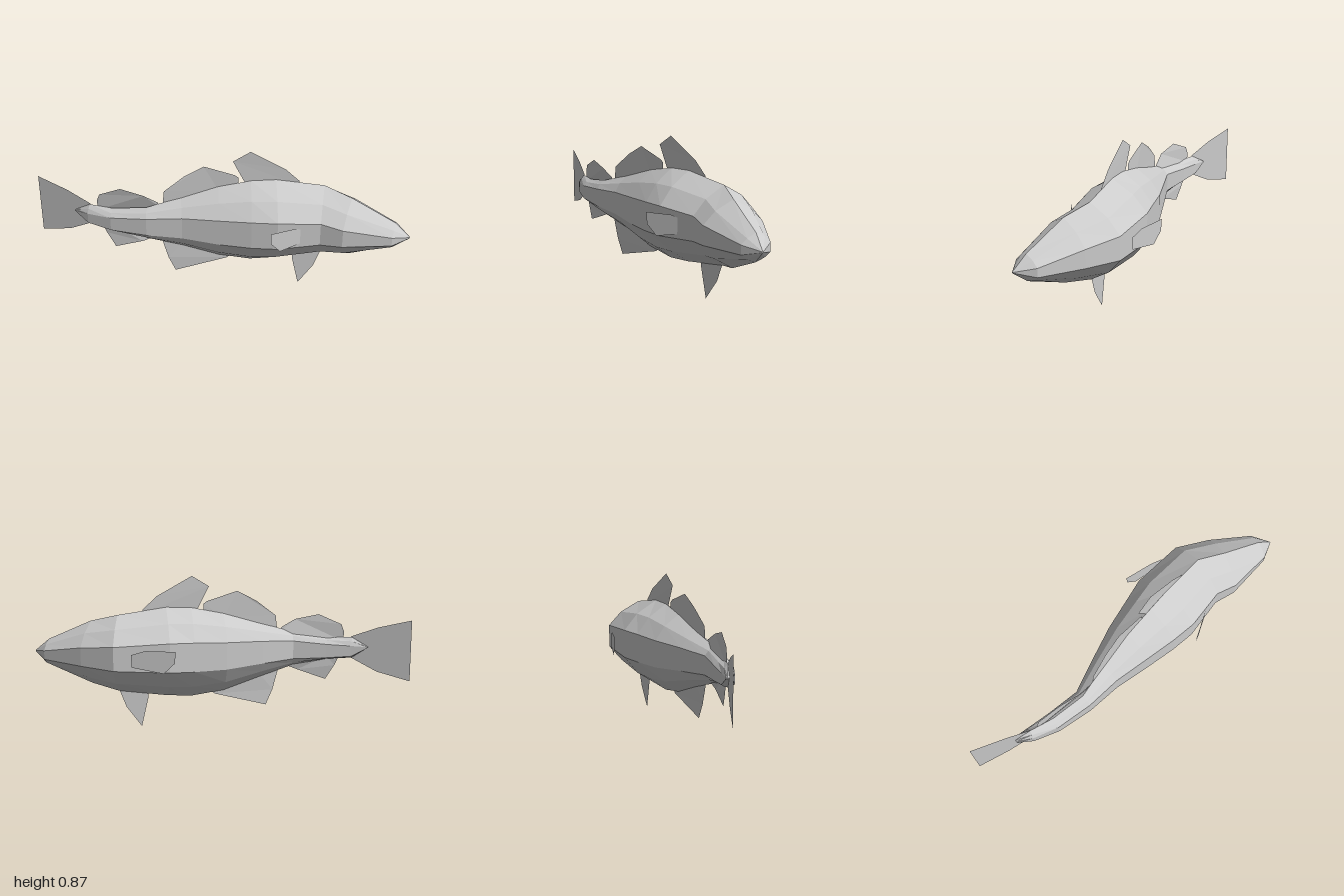
import * as THREE from 'three';

// Body stations, nose to tail: x, z of the spine, half width, then heights of
// the back ridge, upper side edge, lower side edge and belly ridge
const STATIONS = [
  [1.0, 0.40, 0.004, 0.43, 0.427, 0.423, 0.42],
  [0.93, 0.35, 0.08, 0.50, 0.445, 0.395, 0.35],
  [0.71, 0.22, 0.165, 0.615, 0.49, 0.385, 0.25],
  [0.58, 0.115, 0.19, 0.657, 0.51, 0.375, 0.217],
  [0.31, 0.06, 0.206, 0.695, 0.525, 0.36, 0.18],
  [0.17, 0.033, 0.182, 0.69, 0.52, 0.355, 0.172],
  [-0.01, -0.008, 0.145, 0.652, 0.51, 0.355, 0.20],
  [-0.22, -0.045, 0.092, 0.588, 0.50, 0.37, 0.272],
  [-0.415, -0.068, 0.055, 0.533, 0.485, 0.38, 0.33],
  [-0.6, -0.15, 0.05, 0.505, 0.467, 0.388, 0.372],
  [-0.725, -0.225, 0.034, 0.505, 0.46, 0.40, 0.385],
  [-0.80, -0.278, 0.017, 0.455, 0.455, 0.45, 0.45],
];

// Sideways position of the curved spine at a given x
function spineZ(x) {
  let i = 0;
  while (i < STATIONS.length - 2 && x < STATIONS[i + 1][0]) i++;
  const [x0, z0] = STATIONS[i], [x1, z1] = STATIONS[i + 1];
  return z0 + (z1 - z0) * (x - x0) / (x1 - x0);
}

// Ten-sided rings set square to the spine, joined into a skin
function bodyGeometry() {
  const pos = [], index = [], n = 10, last = STATIONS.length - 1;
  STATIONS.forEach(([x, z, w, top, up, low, bottom], i) => {
    const a = STATIONS[Math.max(i - 1, 0)], b = STATIONS[Math.min(i + 1, last)];
    const len = Math.hypot(a[0] - b[0], a[1] - b[1]);
    const sx = -(a[1] - b[1]) / len, sz = (a[0] - b[0]) / len;
    const half = [
      [0, top], [0.6, up + (top - up) * 0.56], [1, up],
      [1, low], [0.6, low + (bottom - low) * 0.56], [0, bottom],
    ];
    const ring = [...half, ...half.slice(1, 5).reverse().map(([s, y]) => [-s, y])];
    for (const [s, y] of ring) pos.push(x + sx * s * w, y, z + sz * s * w);
  });
  for (let i = 0; i < last; i++) {
    for (let j = 0; j < n; j++) {
      const a = i * n + j, b = i * n + (j + 1) % n, c = a + n, d = b + n;
      index.push(a, c, b, b, c, d);
    }
  }
  // Nose and tail ends
  for (let j = 1; j < n - 1; j++) {
    index.push(0, j, j + 1);
    index.push(last * n, last * n + j + 1, last * n + j);
  }
  const g = new THREE.BufferGeometry();
  g.setAttribute('position', new THREE.Float32BufferAttribute(pos, 3));
  g.setIndex(index);
  g.computeVertexNormals();
  return g;
}

export function createModel() {
  const group = new THREE.Group();
  const skin = new THREE.MeshStandardMaterial({ color: 0xcccccc, flatShading: true });
  const finSkin = new THREE.MeshStandardMaterial({
    color: 0xcccccc, flatShading: true, side: THREE.DoubleSide,
  });

  const body = new THREE.Mesh(bodyGeometry(), skin);
  body.name = 'body';
  group.add(body);

  // A thin fin outlined in x and y, laid onto a surface z = depth(x)
  function addFin(name, outline, depth) {
    const shape = new THREE.Shape(outline.map(([x, y]) => new THREE.Vector2(x, y)));
    const g = new THREE.ShapeGeometry(shape);
    const p = g.attributes.position;
    for (let i = 0; i < p.count; i++) p.setZ(i, depth(p.getX(i)));
    g.computeVertexNormals();
    const fin = new THREE.Mesh(g, finSkin);
    fin.name = name;
    group.add(fin);
  }

  // Fins along the spine
  addFin('frontDorsalFin',
    [[0.44, 0.66], [0.44, 0.685], [0.36, 0.76], [0.165, 0.87], [0.07, 0.81], [0.13, 0.69], [0.15, 0.66]], spineZ);
  addFin('middleDorsalFin',
    [[0.10, 0.65], [0.10, 0.71], [0.08, 0.725], [-0.09, 0.78], [-0.2, 0.72], [-0.315, 0.63], [-0.325, 0.54], [-0.01, 0.63]], spineZ);
  addFin('rearDorsalFin',
    [[-0.34, 0.53], [-0.35, 0.56], [-0.43, 0.605], [-0.555, 0.635], [-0.67, 0.58], [-0.685, 0.535], [-0.68, 0.48], [-0.415, 0.51]], spineZ);
  addFin('frontAnalFin',
    [[0.07, 0.21], [0.04, 0.18], [-0.26, 0.10], [-0.3, 0.19], [-0.335, 0.32], [-0.22, 0.29]], spineZ);
  addFin('rearAnalFin',
    [[-0.36, 0.34], [-0.445, 0.305], [-0.595, 0.25], [-0.64, 0.335], [-0.665, 0.40], [-0.6, 0.39]], spineZ);
  addFin('pelvicFin',
    [[0.415, 0.21], [0.415, 0.175], [0.455, 0.0], [0.54, 0.12], [0.575, 0.215], [0.57, 0.24]], spineZ);
  addFin('tailFin',
    [[-0.72, 0.51], [-0.845, 0.57], [-1, 0.62], [-1, 0.265], [-0.845, 0.31], [-0.72, 0.385]], spineZ);

  // Pectoral fins, flaring backwards away from each flank
  const pectoral = [[0, 0.47], [-0.07, 0.495], [-0.22, 0.495], [-0.215, 0.43], [-0.16, 0.37], [0, 0.40]];
  const placePectoral = (name, x0, z0, slope) =>
    addFin(name, pectoral.map(([x, y]) => [x + x0, y]), x => z0 + (x - x0) * slope);
  placePectoral('rightPectoralFin', 0.435, 0.27, -0.2);
  placePectoral('leftPectoralFin', 0.56, -0.105, 0.52);

  return group;
}
